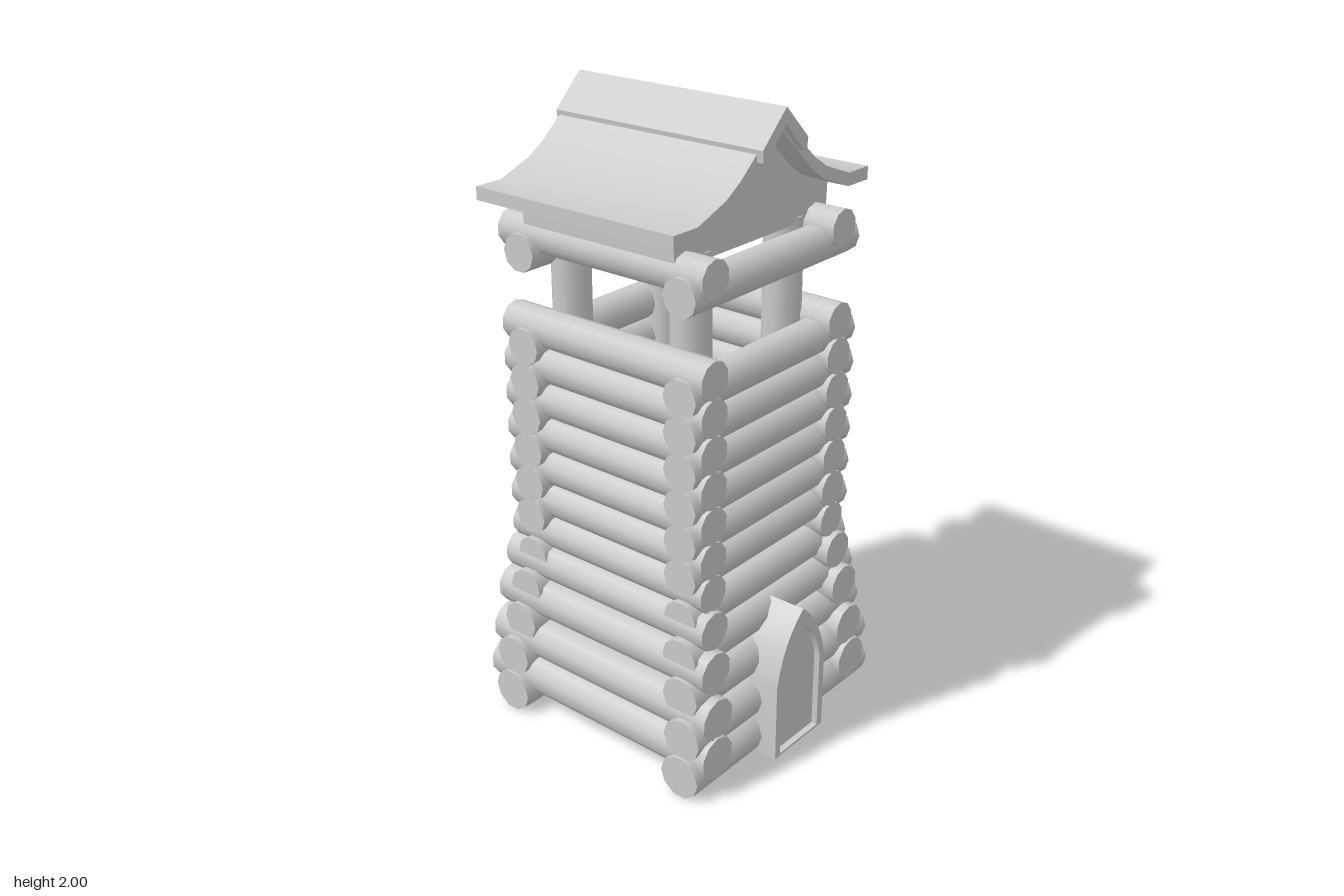
import * as THREE from 'three';
import { toCreasedNormals } from 'three/addons/utils/BufferGeometryUtils.js';

const material = new THREE.MeshStandardMaterial({ color: 0xcccccc });
const CX = -0.012, CZ = -0.02; // the tower axis sits slightly off the origin

function add(parent, name, geometry) {
  const mesh = new THREE.Mesh(geometry, material);
  mesh.name = name;
  parent.add(mesh);
  return mesh;
}

function log(parent, name, axis, length, r, x, y, z) {
  const geometry = new THREE.CylinderGeometry(r, r, length, 10);
  if (axis === 'x') geometry.rotateZ(Math.PI / 2);
  if (axis === 'z') geometry.rotateX(Math.PI / 2);
  add(parent, name, geometry).position.set(x, y, z);
}

// A pair of logs on opposite walls
function logPair(parent, axis, length, r, offset, y) {
  for (const s of [1, -1]) {
    if (axis === 'x') log(parent, 'crossLog', 'x', length, r, -0.003, y, -0.008 + s * offset);
    else log(parent, 'sideLog', 'z', length, r, -0.017 + s * offset, y, CZ);
  }
}

// Closed outline from a half profile running from the ridge outwards and back
function mirroredShape(half) {
  const left = half.filter(([x]) => x > 0).map(([x, y]) => [-x, y]);
  return [...half, ...left.reverse()];
}

function extrude(shape, z0, z1) {
  const geometry = new THREE.ExtrudeGeometry(shape, { depth: z1 - z0, bevelEnabled: false, curveSegments: 6 });
  geometry.translate(0, 0, z0);
  return toCreasedNormals(geometry, 0.6);
}

const toShape = (points) => new THREE.Shape(points.map(([x, y]) => new THREE.Vector2(x, y)));

// Pointed arch outline
function arch(w, bottom, spring, peak, Type = THREE.Shape) {
  const s = new Type();
  s.moveTo(-w, bottom);
  s.lineTo(w, bottom);
  s.lineTo(w, spring);
  s.quadraticCurveTo(w * 0.8, spring + (peak - spring) * 0.65, 0, peak);
  s.quadraticCurveTo(-w * 0.8, spring + (peak - spring) * 0.65, -w, spring);
  s.lineTo(-w, bottom);
  return s;
}

function doorway(name, face) {
  const door = new THREE.Group();
  door.name = name;
  const frame = arch(0.123, 0.012, 0.27, 0.495);
  frame.holes.push(arch(0.098, 0.02, 0.28, 0.44, THREE.Path));
  add(door, 'doorFrame', extrude(frame, face - 0.13, face));
  add(door, 'doorPanel', extrude(arch(0.1, 0.018, 0.28, 0.442), face - 0.12, face - 0.02));
  return door;
}

export function createModel() {
  const tower = new THREE.Group();
  tower.name = 'logTower';

  // Log walls: flared base, then straight courses
  const walls = new THREE.Group();
  walls.name = 'walls';
  tower.add(walls);
  const base = [
    // length x, radius, offset z, y   |  length z, radius, offset x, y
    [0.895, 0.07, 0.352, 0.07, 0.888, 0.07, 0.35, 0.13],
    [0.875, 0.067, 0.352, 0.197, 0.873, 0.068, 0.34, 0.258],
    [0.835, 0.065, 0.33, 0.325, 0.837, 0.066, 0.328, 0.407],
    [0.805, 0.062, 0.314, 0.447, 0.798, 0.061, 0.312, 0.533],
  ];
  for (const [lx, rx, oz, yx, lz, rz, ox, yz] of base) {
    logPair(walls, 'x', lx, rx, oz, yx);
    logPair(walls, 'z', lz, rz, ox, yz);
  }
  logPair(walls, 'x', 0.761, 0.059, 0.299, 0.563);
  logPair(walls, 'z', 0.76, 0.059, 0.297, 0.643);
  for (let i = 0; i < 6; i++) {
    logPair(walls, 'x', 0.761, 0.059, 0.299, 0.7 + i * 0.1118);
    logPair(walls, 'z', 0.76, 0.059, 0.297, 0.753 + i * 0.1112);
  }

  // Beams carrying the roof
  const beams = new THREE.Group();
  beams.name = 'roofBeams';
  tower.add(beams);
  logPair(beams, 'x', 0.761, 0.058, 0.299, 1.548);
  logPair(beams, 'z', 0.76, 0.058, 0.297, 1.597);

  // Corner posts
  for (const sx of [1, -1]) {
    for (const sz of [1, -1]) {
      log(tower, 'cornerPost', 'y', 1.6, 0.06, CX + sx * 0.212, 0.83, -0.026 + sz * 0.227);
    }
  }

  // Doors on the front and the back
  const front = doorway('frontDoor', 0.467);
  const back = doorway('backDoor', 0.467);
  front.position.x = back.position.x = CX;
  back.rotation.y = Math.PI;
  tower.add(front, back);

  // Swept roof with gable body and ridge cap
  const roof = new THREE.Group();
  roof.name = 'roof';
  roof.position.x = CX;
  tower.add(roof);
  const gable = [[0, 1.95], [0.1, 1.86], [0.2, 1.775], [0.32, 1.715], [0.35, 1.715], [0.345, 1.61]];
  add(roof, 'gableBody', extrude(toShape(mirroredShape(gable)), -0.305, 0.255));
  const slab = [
    [0, 1.972], [0.06, 1.923], [0.115, 1.873], [0.17, 1.826], [0.23, 1.788], [0.345, 1.745], [0.442, 1.745],
    [0.442, 1.705], [0.345, 1.705], [0.22, 1.752], [0.16, 1.792], [0.105, 1.842], [0.05, 1.895], [0, 1.94],
  ];
  add(roof, 'roofSlab', extrude(toShape(mirroredShape(slab)), -0.39, 0.333));
  const cap = [[0, 2], [0.102, 1.9], [0.098, 1.865], [0.085, 1.865], [0, 1.955]];
  add(roof, 'ridgeCap', extrude(toShape(mirroredShape(cap)), -0.4, 0.355));

  return tower;
}
